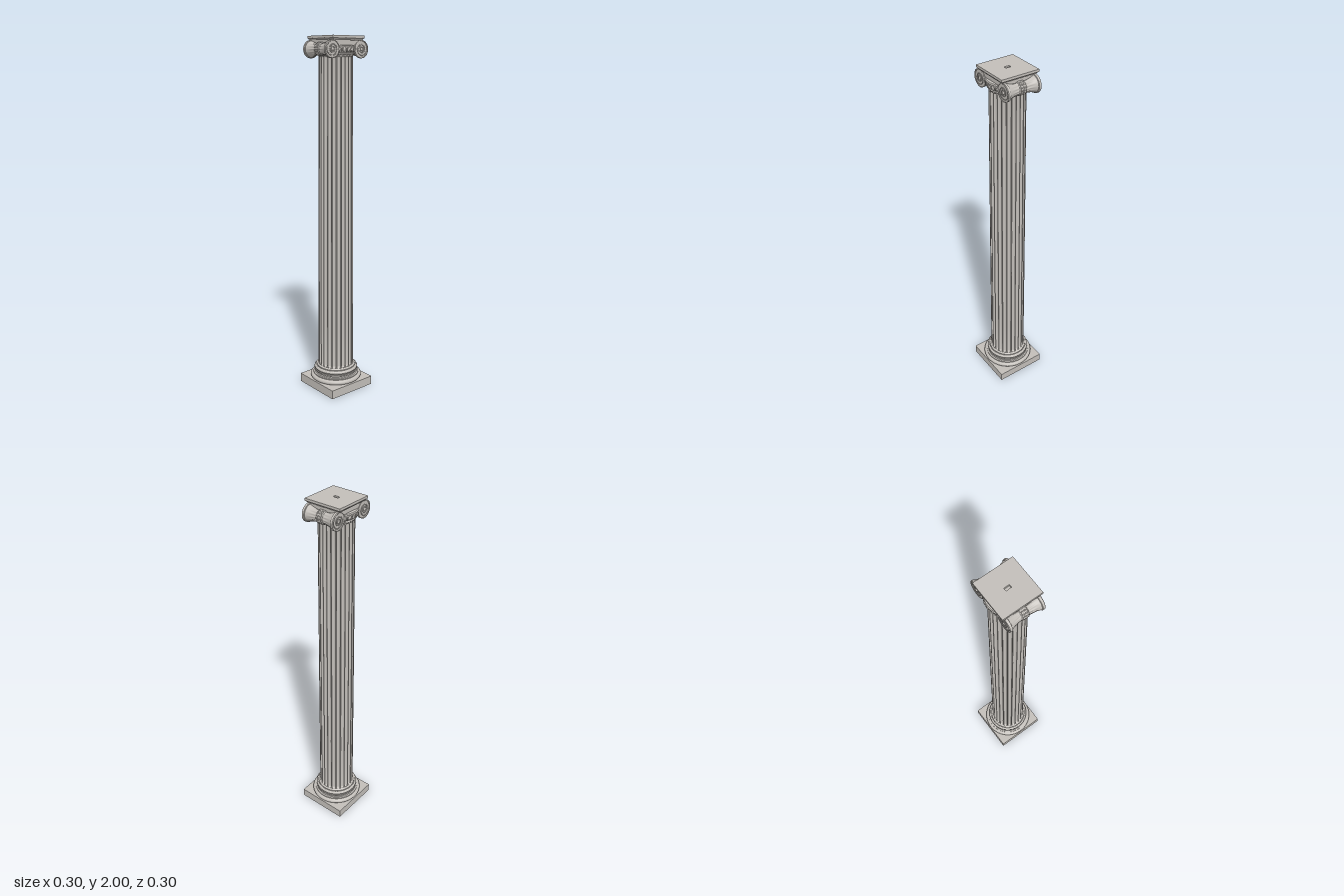
import * as THREE from 'three';
import { mergeGeometries, toCreasedNormals } from 'three/addons/utils/BufferGeometryUtils.js';

const V2 = (p) => p.map(([x, y]) => new THREE.Vector2(x, y));

// Keep hard edges crisp; done at a larger scale so that tiny mouldings stay separate.
function crease(geo, angle = 0.6) {
  geo.scale(100, 100, 100);
  return toCreasedNormals(geo, angle).scale(0.01, 0.01, 0.01);
}

// Lathe whose radius is changed by a rule of (angle, height, radius).
function turned(points, segments, rule, angle) {
  const geo = new THREE.LatheGeometry(V2(points), segments);
  const pos = geo.attributes.position;
  if (rule) {
    for (let i = 0; i < pos.count; i++) {
      const x = pos.getX(i), y = pos.getY(i), z = pos.getZ(i);
      const r = Math.hypot(x, z);
      if (r < 1e-5) continue;
      const k = rule(Math.atan2(x, z), y, r) / r;
      pos.setXYZ(i, x * k, y, z * k);
    }
  }
  return crease(geo, angle);
}

// Points of a convex half-round moulding.
function halfRound(r, y0, y1, bulge, n = 8) {
  const pts = [];
  for (let i = 0; i <= n; i++) {
    const a = -Math.PI / 2 + (Math.PI * i) / n;
    pts.push([r + bulge * Math.cos(a), (y0 + y1) / 2 + ((y1 - y0) / 2) * Math.sin(a)]);
  }
  return pts;
}

// Ring of small carved ellipsoids.
function ring(count, radius, y, sx, sy, sz, offset = 0) {
  const parts = [];
  for (let i = 0; i < count; i++) {
    const g = new THREE.SphereGeometry(1, 10, 8);
    g.scale(sx, sy, sz).translate(0, y, radius);
    parts.push(g.rotateY(((i + offset) / count) * Math.PI * 2));
  }
  return mergeGeometries(parts);
}

export function createModel() {
  const model = new THREE.Group();
  model.name = 'ionicColumn';
  const stone = new THREE.MeshStandardMaterial({ color: 0xc2beb9 });
  stone.name = 'pale stone';
  const add = (name, geo, parent = model) => {
    const mesh = new THREE.Mesh(geo, stone);
    mesh.name = name;
    parent.add(mesh);
    return mesh;
  };

  // Base: square plinth, lower torus, scotia, carved upper torus
  add('plinth', new THREE.BoxGeometry(0.298, 0.05, 0.298).translate(0, 0.025, 0));
  add('baseMoulding', turned([
    ...halfRound(0.132, 0.05, 0.078, 0.016),
    [0.132, 0.083], [0.123, 0.085], [0.119, 0.09], [0.119, 0.095], [0.125, 0.099], [0.125, 0.102], [0.11, 0.102],
  ], 72));
  add('upperTorus', turned(halfRound(0.113, 0.102, 0.126, 0.012, 12), 192, (a, y, r) =>
    r + 0.0016 * Math.sin(32 * a + 260 * (y - 0.114)) * Math.sin(32 * a - 260 * (y - 0.114))));
  add('shaftFoot', turned([[0.112, 0.124], [0.112, 0.13], [0.106, 0.132], [0.102, 0.137], [0.09, 0.137]], 72));

  // Shaft: 24 flutes with round ends and a slight swelling
  const y0 = 0.134, y1 = 1.9, w = 0.0105, flutes = 24;
  const ends = [0, 0.004, 0.005, 0.007, 0.01, 0.0145];
  const heights = [...ends.map((h) => y0 + h)];
  for (let i = 1; i < 8; i++) heights.push(y0 + ((y1 - y0) * i) / 8);
  heights.push(...ends.map((h) => y1 - h).reverse());
  const radiusAt = (y) => {
    const t = (y - y0) / (y1 - y0);
    return 0.102 - 0.01 * Math.pow(t, 1.3);
  };
  add('flutedShaft', turned(heights.map((y) => [radiusAt(y), y]), flutes * 12, (a, y, r) => {
    const pitch = (Math.PI * 2) / flutes;
    const u = ((a / pitch - Math.round(a / pitch)) * 12 / 5) * w;
    const end = Math.max(0, w - (Math.min(y - y0, y1 - y) - 0.004));
    return r - 0.95 * Math.sqrt(Math.max(0, w * w - u * u - end * end));
  }, 0.7));

  // Capital: bead ring, echinus with eggs and darts
  const capital = new THREE.Group();
  capital.name = 'capital';
  model.add(capital);
  add('neckRing', turned([[0.088, 1.896], [0.094, 1.898], ...halfRound(0.094, 1.9, 1.91, 0.004), [0.092, 1.912]], 72), capital);
  add('neckBeads', ring(48, 0.097, 1.905, 0.0042, 0.004, 0.003), capital);
  add('echinus', turned([[0.092, 1.909], [0.099, 1.916], [0.105, 1.925], [0.109, 1.937], [0.11, 1.945], [0.106, 1.95], [0.08, 1.952]], 72), capital);
  add('eggs', ring(24, 0.104, 1.931, 0.009, 0.014, 0.008), capital);
  add('darts', ring(24, 0.106, 1.931, 0.0018, 0.015, 0.005, 0.5), capital);

  // Channel block joining the volutes
  add('channelBlock', new THREE.BoxGeometry(0.182, 0.036, 0.2).translate(0, 1.961, 0), capital);

  // Bolsters front and back: scroll rolls with end discs, leaf ribs and a scaled belt
  const R = 0.047, cy = 1.931, cz = 0.1;
  const half = [[0.035, 0], [0.035, 0.006], [0.035, 0.012], [0.035, 0.016], [0.033, 0.018], [0.031, 0.02],
    [0.031, 0.028], [0.032, 0.038], [0.034, 0.05], [0.037, 0.062], [0.041, 0.073], [0.043, 0.08],
    [R, 0.082], [R, 0.094], [0.044, 0.096], [0.043, 0.094], [0, 0.094]];
  const profile = [...half.slice(1).reverse().map(([r, x]) => [r, -x]), ...half];
  const carve = (a, x, r) => {
    const d = Math.abs(x);
    if (d < 0.017) return r + 0.0014 * Math.cos(16 * a + 350 * x) * Math.cos(16 * a - 350 * x);
    if (d > 0.021 && d < 0.07) return r + 0.0018 * Math.cos(14 * a) * (0.072 - d) / 0.05;
    return r;
  };
  for (const s of [1, -1]) {
    const roll = turned(profile, 112, carve).rotateZ(-Math.PI / 2);
    add(s > 0 ? 'frontBolster' : 'backBolster', roll.translate(0, cy, s * cz), capital);
  }

  // Scroll ribs on both faces: one band that winds into each volute
  const spiral = (s, x) => {
    const pts = [];
    for (let i = 0; i <= 60; i++) {
      const t = i / 60, a = Math.PI / 2 - t * Math.PI * 5;
      const r = 0.0445 * Math.pow(0.2, t);
      pts.push(new THREE.Vector3(x, cy + r * Math.sin(a), s * (cz + r * Math.cos(a))));
    }
    return pts;
  };
  for (const side of [1, -1]) {
    const x = side * 0.0945;
    const face = new THREE.Group();
    face.name = side > 0 ? 'leftVoluteFace' : 'rightVoluteFace';
    capital.add(face);
    const path = new THREE.CatmullRomCurve3([...spiral(-1, x).reverse(), ...spiral(1, x)]);
    add('scrollRib', new THREE.TubeGeometry(path, 260, 0.0024, 6), face);
    const lower = new THREE.CatmullRomCurve3([[-0.062, 1.95], [-0.03, 1.947], [0, 1.946], [0.03, 1.947], [0.062, 1.95]]
      .map(([z, y]) => new THREE.Vector3(side * 0.092, y, z)));
    add('channelRib', new THREE.TubeGeometry(lower, 24, 0.0022, 6), face);
    for (const s of [1, -1]) {
      const eye = new THREE.SphereGeometry(0.0085, 16, 12).scale(0.6, 1, 1);
      add('voluteEye', eye.translate(side * 0.0945, cy, s * cz), face);
    }
  }

  // Abacus: square moulding below a slab with a small lifting slot
  const q = Math.SQRT2;
  const moulding = new THREE.LatheGeometry(V2([
    [0.09, 1.976], [0.098, 1.976], [0.099, 1.979], [0.102, 1.982], [0.105, 1.986], [0.105, 1.988], [0, 1.988],
  ].map(([r, y]) => [r * q, y])), 4).rotateY(Math.PI / 4);
  add('abacusMoulding', crease(moulding, 0.5), capital);
  const rect = (a, b) => V2([[-a, -b], [a, -b], [a, b], [-a, b]]);
  const slab = new THREE.Shape(rect(0.108, 0.108));
  slab.holes.push(new THREE.Path(rect(0.015, 0.008)));
  const slabGeo = new THREE.ExtrudeGeometry(slab, { depth: 0.013, bevelEnabled: false });
  add('abacusSlab', slabGeo.rotateX(-Math.PI / 2).translate(0, 1.987, 0), capital);

  return model;
}
